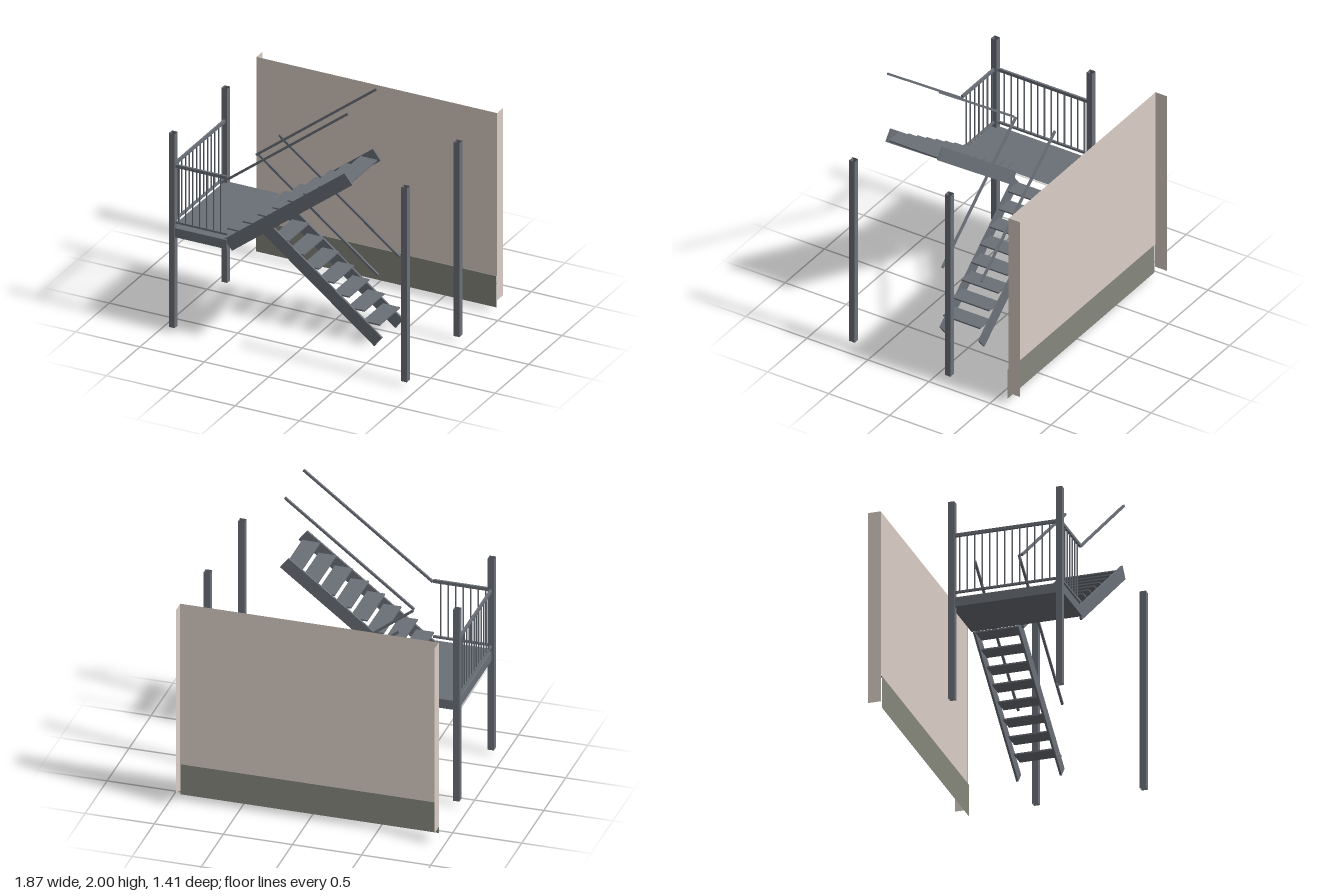
import * as THREE from 'three';

const paint = (color, side = THREE.FrontSide) =>
  new THREE.MeshStandardMaterial({ color, side, flatShading: true });

export function createModel() {
  const model = new THREE.Group();
  const steel = paint(0x6b7078);
  const steelSheet = paint(0x6b7078, THREE.DoubleSide);
  const plaster = paint(0xdccfc6, THREE.DoubleSide);
  const plinthPaint = paint(0x85877c, THREE.DoubleSide);

  const group = (name) => {
    const g = new THREE.Group();
    g.name = name;
    model.add(g);
    return g;
  };
  const add = (parent, name, geometry, material, x, y, z) => {
    const mesh = new THREE.Mesh(geometry, material);
    mesh.name = name;
    mesh.position.set(x, y, z);
    parent.add(mesh);
    return mesh;
  };
  const box = (parent, name, w, h, d, x, y, z) =>
    add(parent, name, new THREE.BoxGeometry(w, h, d), steel, x, y, z);
  // Flat panel facing +z, then turned about x and y
  const panel = (parent, name, material, w, h, x, y, z, rx = 0, ry = 0) => {
    const mesh = add(parent, name, new THREE.PlaneGeometry(w, h), material, x, y, z);
    mesh.rotation.set(rx, ry, 0);
    return mesh;
  };
  const Q = Math.PI / 2;

  // Building wall with short returns and a plinth
  const wall = group('wall');
  panel(wall, 'wallFace', plaster, 1.87, 1.255, 0, 0.9075, -0.613);
  for (const s of [-1, 1])
    panel(wall, 'wallReturn', plaster, 0.095, 1.445, s * 0.935, 0.8125, -0.6575, 0, Q);
  panel(wall, 'plinthFace', plinthPaint, 1.87, 0.24, 0, 0.16, -0.604);
  panel(wall, 'plinthLedge', plinthPaint, 1.87, 0.01, 0, 0.28, -0.609, -Q);

  // Four hollow posts, open at both ends
  const posts = group('posts');
  for (const x of [-0.907, 0.898])
    for (const z of [0.682, -0.102]) {
      const tube = new THREE.CylinderGeometry(0.045 / Math.SQRT2, 0.045 / Math.SQRT2, 1.495, 4, 1, true);
      tube.rotateY(Math.PI / 4);
      add(posts, 'post', tube, steelSheet, x, 0.7875, z);
    }

  // Landing: deck, soffit and fascias, open behind the lower flight
  const landing = group('landing');
  const cx = -0.699, cz = 0.298, w = 0.428, d = 0.805, top = 0.81, h = 0.07;
  panel(landing, 'deck', steel, w, d, cx, top, cz, -Q);
  panel(landing, 'soffit', steel, w, d, cx, top - h, cz, Q);
  panel(landing, 'frontFascia', steel, w, h, cx, top - h / 2, cz + d / 2);
  panel(landing, 'backFascia', steel, w, h, cx, top - h / 2, cz - d / 2, 0, Math.PI);
  panel(landing, 'outerFascia', steel, d, h, cx - w / 2, top - h / 2, cz, 0, -Q);
  panel(landing, 'innerFascia', steel, 0.45, h, cx + w / 2, top - h / 2, 0.475, 0, Q);

  // Landing guard rails and balusters
  const guard = group('guardRail');
  for (const [y, t] of [[1.283, 0.024], [0.849, 0.015]]) {
    box(guard, 'frontRail', 0.4, t, 0.016, -0.685, y, 0.683);
    box(guard, 'sideRail', 0.016, t, 0.74, -0.907, y, 0.29);
  }
  for (let i = 0; i < 7; i++)
    box(guard, 'baluster', 0.008, 0.42, 0.008, -0.862 + i * 0.0543, 1.062, 0.683);
  for (let i = 0; i < 13; i++)
    box(guard, 'baluster', 0.008, 0.42, 0.008, -0.907, 1.062, 0.608 - i * 0.0547);

  // A flight: sloping stringers and handrails, level treads
  const flight = (name, dir, stringerY, zs, railZs, treadX, treadY) => {
    const g = group(name);
    const angle = dir * 0.6575;
    for (const z of zs)
      box(g, 'stringer', 1.181, 0.098, 0.015, -0.01, stringerY, z).rotation.z = angle;
    for (const z of railZs)
      box(g, 'handrail', 1.182, 0.016, 0.016, -0.0125, 1.275 + dir * 0.3605, z).rotation.z = angle;
    const depth = Math.abs(zs[0] - zs[1]) - 0.015;
    for (let i = 0; i < 8; i++)
      box(g, 'tread', 0.13, 0.011, depth, treadX + i * 0.1178, treadY + dir * i * 0.0807, (zs[0] + zs[1]) / 2);
  };
  flight('upperFlight', 1, 1.13, [0.68, 0.258], [0.685, 0.26], -0.428, 0.885);
  flight('lowerFlight', -1, 0.4, [0.237, -0.079], [0.24, -0.08], -0.428, 0.729);

  return model;
}
